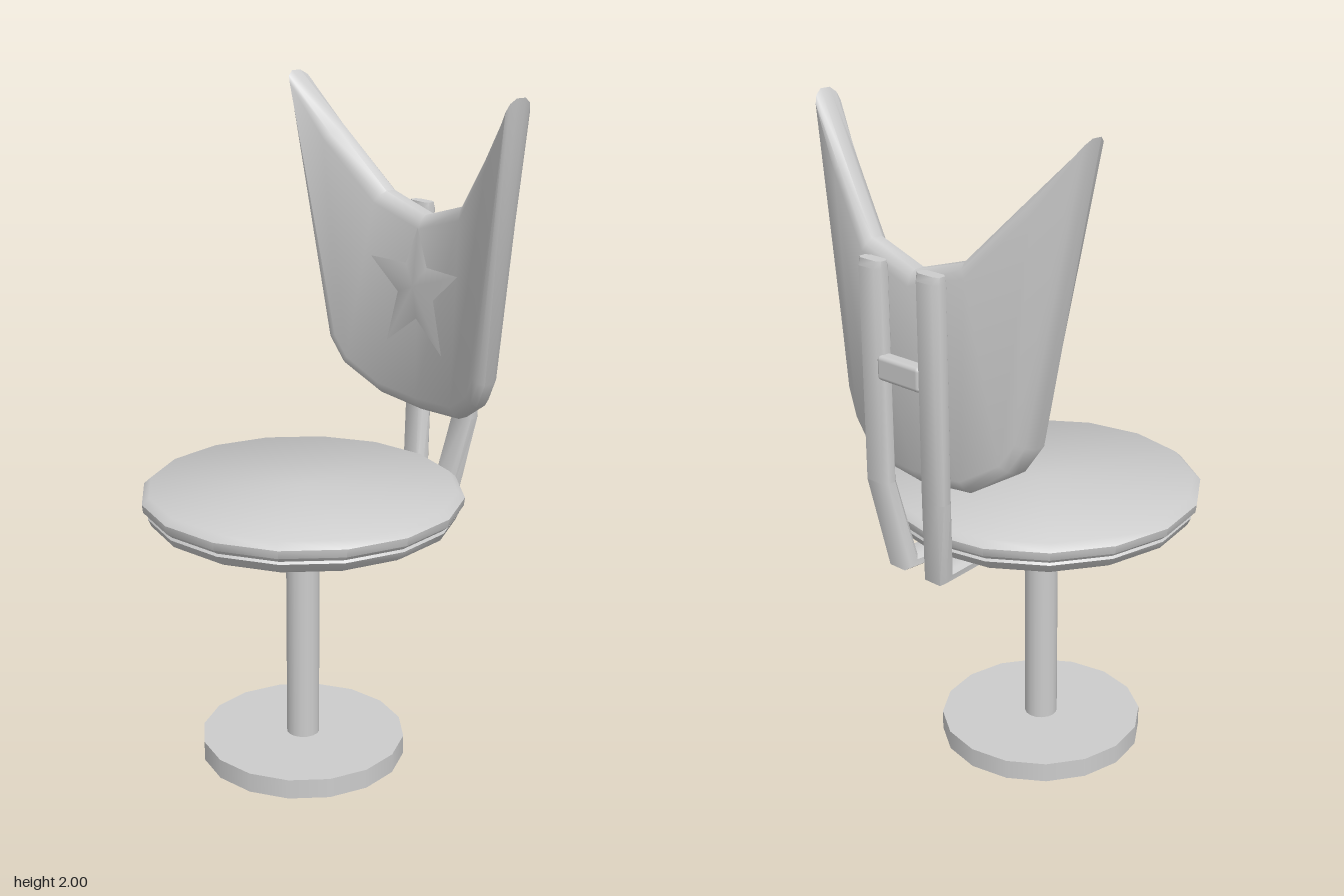
import * as THREE from 'three';
import { toCreasedNormals } from 'three/addons/utils/BufferGeometryUtils.js';
import { RoundedBoxGeometry } from 'three/addons/geometries/RoundedBoxGeometry.js';

const AXIS_Z = 0.045; // seat, post and base share this axis

// Skin a list of equal-length rings; both ends are closed with strips of quads.
function loft(rings) {
  const n = rings[0].length, last = (rings.length - 1) * n, index = [];
  for (let j = 0; j < rings.length - 1; j++) {
    for (let i = 0; i < n; i++) {
      const a = j * n + i, b = j * n + (i + 1) % n;
      index.push(a, b, b + n, a, b + n, a + n);
    }
  }
  for (let i = 0; i < n / 2 - 1; i++) {
    const a = i, b = i + 1, c = n - 2 - i, d = n - 1 - i;
    index.push(a, c, b, a, d, c);
    index.push(last + a, last + b, last + c, last + a, last + c, last + d);
  }
  const g = new THREE.BufferGeometry();
  g.setAttribute('position', new THREE.Float32BufferAttribute(rings.flat(2), 3));
  g.setIndex(index);
  return toCreasedNormals(g, 0.8);
}

// Middle depth of the wrapped backrest at a given x.
function backDepth(x) {
  const a = Math.abs(x);
  return a < 0.18 ? -0.43 + a * 0.06 : -0.419 + (a - 0.18) * 0.37;
}

function backrestGeometry() {
  const bottom = [[0, 1.01], [0.18, 1.025], [0.305, 1.1], [0.355, 1.18]];
  const top = [[0, 1.61], [0.17, 1.66], [0.33, 1.83], [0.49, 2]];
  const mirror = (p) => p.slice(1).reverse().map(([x, y]) => [-x, y]);
  const outline = [...mirror(bottom), ...bottom, ...[...mirror(top), ...top].reverse()];
  const n = outline.length;
  const inset = (d) => outline.map(([x, y], i) => {
    const p = outline[(i + n - 1) % n], q = outline[(i + 1) % n];
    const e1 = new THREE.Vector2(x - p[0], y - p[1]).normalize();
    const e2 = new THREE.Vector2(q[0] - x, q[1] - y).normalize();
    const out = new THREE.Vector2(e1.y + e2.y, -e1.x - e2.x).normalize();
    return [x - out.x * d, y - out.y * d];
  });
  const layers = [[-0.045, 0.04], [-0.036, 0.016], [-0.016, 0], [0.016, 0], [0.036, 0.016], [0.045, 0.04]];
  return loft(layers.map(([z, d]) => inset(d).map(([x, y]) => [x, y, backDepth(x) + z])));
}

function starGeometry() {
  const half = [[0, 1.575], [0.047, 1.463], [0.195, 1.463], [0.08, 1.37], [0.125, 1.21], [0, 1.3]];
  const left = half.slice(1, 5).map(([x, y]) => [-x, y]);
  const ring = [half[0], ...left, half[5], ...half.slice(1, 5).reverse()];
  const pts = [[0, 1.4, backDepth(0) + 0.064], ...ring.map(([x, y]) => [x, y, backDepth(x) + 0.047])];
  const index = ring.flatMap((_, i) => [0, i + 1, (i + 1) % ring.length + 1]);
  const g = new THREE.BufferGeometry();
  g.setAttribute('position', new THREE.Float32BufferAttribute(pts.flat(), 3));
  g.setIndex(index);
  g.computeVertexNormals();
  return g;
}

// Flattened bar from beneath the seat, bending up behind the backrest.
function supportGeometry(side) {
  // centre x, y, z, then the thickness direction in y and z
  const stations = [
    [0.035, 0.752, -0.04, -0.017, 0], [0.07, 0.752, -0.455, -0.017, -0.025],
    [0.108, 1.0, -0.494, 0, -0.025], [0.108, 1.61, -0.494, 0, -0.025],
    [0.108, 1.63, -0.494, 0, -0.018],
  ];
  const section = [[-0.7, -1], [0.7, -1], [1, -0.5], [1, 0.5], [0.7, 1], [-0.7, 1], [-1, 0.5], [-1, -0.5]];
  return loft(stations.map(([x, y, z, ny, nz]) =>
    section.map(([u, v]) => [side * x + u * 0.042, y + v * ny, z + v * nz])));
}

export function createModel() {
  const group = new THREE.Group();
  group.name = 'chair';
  const grey = new THREE.MeshStandardMaterial({ color: 0xcccccc });
  grey.name = 'light grey';

  const add = (name, geometry, x = 0, y = 0, z = 0) => {
    const mesh = new THREE.Mesh(geometry, grey);
    mesh.name = name;
    mesh.position.set(x, y, z);
    group.add(mesh);
  };

  // Pedestal
  add('base', new THREE.CylinderGeometry(0.31, 0.31, 0.06, 16), 0, 0.03, AXIS_Z);
  add('post', new THREE.CylinderGeometry(0.05, 0.05, 0.69, 16), 0, 0.395, AXIS_Z);
  add('hub', new THREE.CylinderGeometry(0.125, 0.125, 0.035, 16), 0, 0.7525, AXIS_Z);

  // Round seat with a groove between the cushion and its lower rim
  const profile = [[0, 0.766], [0.43, 0.766], [0.45, 0.778], [0.46, 0.8], [0.455, 0.807],
    [0.473, 0.822], [0.476, 0.846], [0.455, 0.865], [0, 0.865]].map(([r, y]) => new THREE.Vector2(r, y));
  add('seat', toCreasedNormals(new THREE.LatheGeometry(profile, 16), 0.8), 0, 0, AXIS_Z);

  // Backrest and its frame
  add('backrest', backrestGeometry());
  add('star', starGeometry());
  add('leftSupport', supportGeometry(1));
  add('rightSupport', supportGeometry(-1));
  add('crossbar', new RoundedBoxGeometry(0.16, 0.07, 0.045, 2, 0.012), 0, 1.34, -0.5);

  return group;
}
